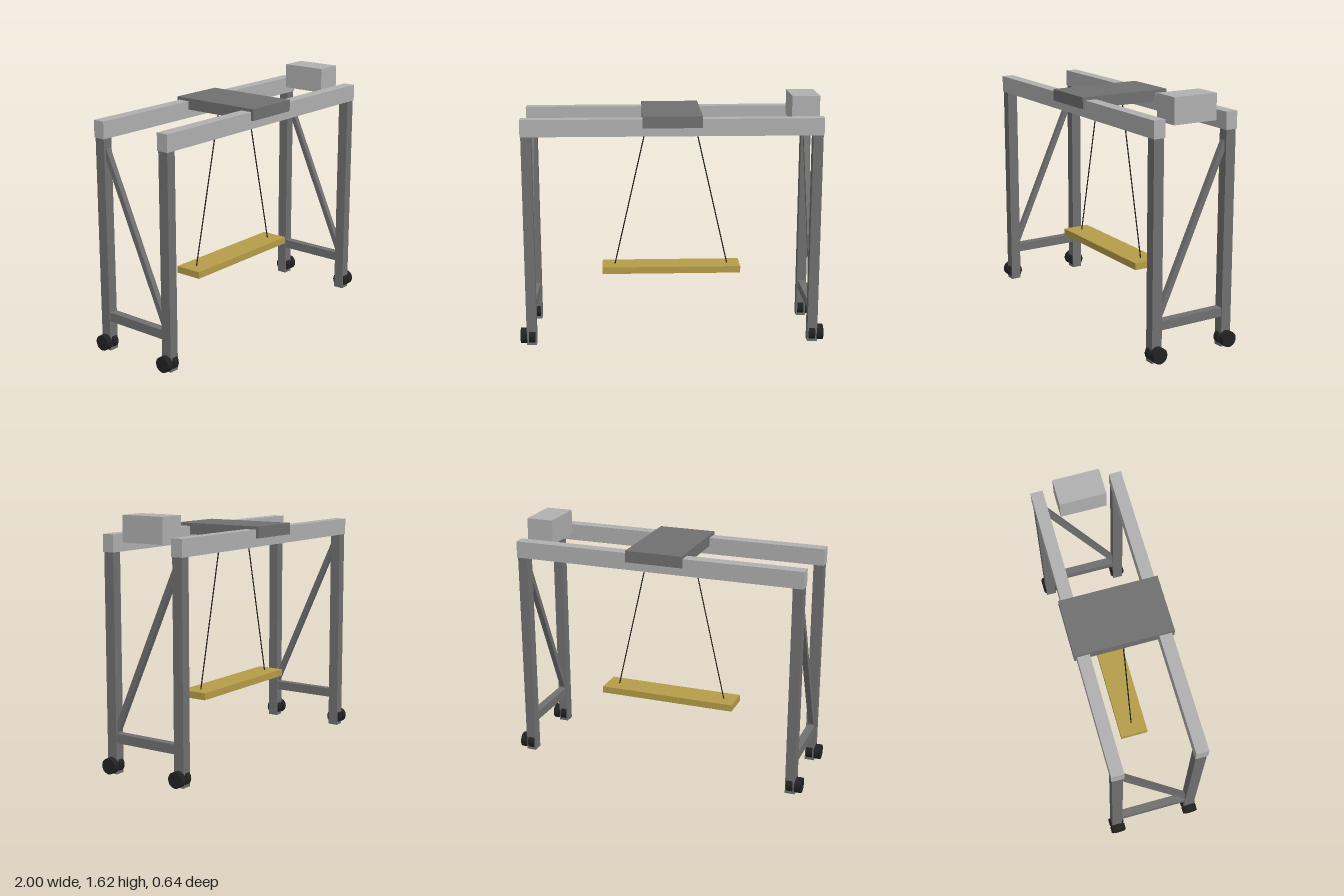
import * as THREE from 'three';

export function createModel() {
  const group = new THREE.Group();
  const material = (name, color) => {
    const m = new THREE.MeshStandardMaterial({ color });
    m.name = name;
    return m;
  };
  const lightSteel = material('light steel', 0xb0b0b0);
  const darkSteel = material('dark steel', 0x707070);
  const plankYellow = material('plank yellow', 0xb59d48);
  const black = material('black rubber', 0x222222);

  function add(name, geometry, mat, x, y, z) {
    const mesh = new THREE.Mesh(geometry, mat);
    mesh.name = name;
    mesh.position.set(x, y, z);
    group.add(mesh);
    return mesh;
  }
  const box = (name, mat, w, h, d, x, y, z) =>
    add(name, new THREE.BoxGeometry(w, h, d), mat, x, y, z);

  // Twin top beams
  for (const s of [1, -1]) box('beam', lightSteel, 1.93, 0.11, 0.08, 0, 1.445, s * 0.26);

  // Trolley bridging the beams, and the drive box at one end
  box('trolley', darkSteel, 0.38, 0.075, 0.636, 0, 1.4825, 0);
  box('driveBox', lightSteel, 0.18, 0.165, 0.304, 0.865, 1.5375, 0);

  for (const sx of [1, -1]) {
    // Legs with a pair of wheels on each
    for (const sz of [1, -1]) {
      box('leg', darkSteel, 0.065, 1.39, 0.07, sx * 0.928, 0.695, sz * 0.26);
      for (const x of [0.925, 0.979]) {
        const wheel = new THREE.CylinderGeometry(0.051, 0.051, 0.042, 20);
        wheel.rotateZ(Math.PI / 2);
        add('wheel', wheel, black, sx * x, 0.055, sz * 0.26);
      }
    }

    // Lower cross bar and diagonal brace, rising towards the back
    box('crossBar', darkSteel, 0.052, 0.06, 0.46, sx * 0.928, 0.23, 0);
    const rise = 1.04, run = 0.47;
    const brace = box('brace', darkSteel, 0.036, Math.hypot(rise, run), 0.035, sx * 0.928, 0.8, 0);
    brace.rotation.x = -Math.atan2(run, rise);

    // Hanging cable
    const top = new THREE.Vector3(sx * 0.149, 1.46, 0);
    const end = new THREE.Vector3(sx * 0.38, 0.455, 0);
    const cable = new THREE.TubeGeometry(new THREE.LineCurve3(top, end), 1, 0.004, 8);
    add('cable', cable, black, 0, 0, 0);
  }

  // Suspended plank
  box('plank', plankYellow, 0.924, 0.045, 0.186, 0, 0.4425, 0);

  return group;
}
